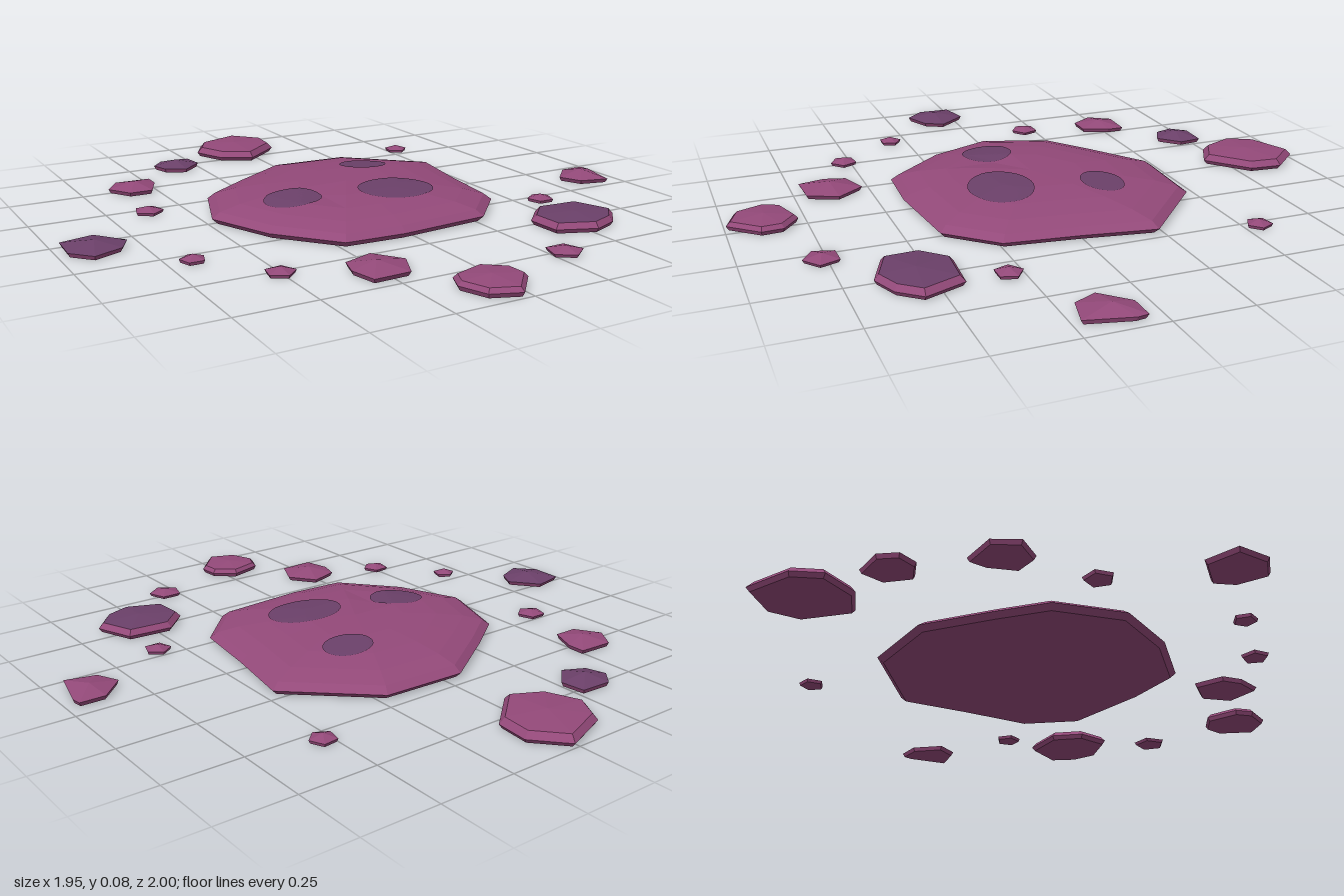
import * as THREE from 'three';

const mauve = new THREE.MeshStandardMaterial({ color: 0x934979, flatShading: true });
mauve.name = 'mauve stone';
const plum = new THREE.MeshStandardMaterial({ color: 0x6b4069, flatShading: true });
plum.name = 'dark plum';

// Closed faceted stone: an outline repeated in rings of [scale, height], from base centre to crown.
// Group 0 is the base and rim, group 1 the cap above ring capFrom.
function stoneGeometry(outline, rings, capFrom, shift = () => 0) {
  const n = outline.length;
  const cx = outline.reduce((s, p) => s + p[0], 0) / n;
  const cz = outline.reduce((s, p) => s + p[1], 0) / n;
  const at = (k, i) => {
    const [s, y] = rings[k];
    const p = outline[i % n];
    return [cx + (p[0] - cx) * s, y + shift(k, i % n), cz + (p[1] - cz) * s];
  };
  const pos = [];
  let capStart = 0;
  for (let k = 0; k < rings.length - 1; k++) {
    if (k === capFrom) capStart = pos.length / 3;
    for (let i = 0; i < n; i++) {
      const a = at(k, i), b = at(k, i + 1), c = at(k + 1, i + 1), d = at(k + 1, i);
      if (rings[k][0] > 0) pos.push(...a, ...c, ...b);
      if (rings[k + 1][0] > 0) pos.push(...a, ...d, ...c);
    }
  }
  const g = new THREE.BufferGeometry();
  g.setAttribute('position', new THREE.Float32BufferAttribute(pos, 3));
  g.addGroup(0, capStart, 0);
  g.addGroup(capStart, pos.length / 3 - capStart, 1);
  g.computeVertexNormals();
  return g;
}

// Thin round patch draped over a surface
function spotGeometry(surface, x, z, rx, rz) {
  const g = new THREE.RingGeometry(0.001, 1, 28, 6);
  g.rotateX(-Math.PI / 2);
  g.scale(rx, 1, rz);
  g.translate(x, 0, z);
  const p = g.attributes.position;
  const ray = new THREE.Raycaster();
  const down = new THREE.Vector3(0, -1, 0);
  for (let i = 0; i < p.count; i++) {
    ray.set(new THREE.Vector3(p.getX(i), 1, p.getZ(i)), down);
    const hit = ray.intersectObject(surface)[0];
    p.setY(i, (hit ? hit.point.y : 0.07) + 0.003);
  }
  g.computeVertexNormals();
  return g;
}

export function createModel() {
  const group = new THREE.Group();
  group.name = 'steppingStones';
  const add = (name, geometry, material) => {
    const mesh = new THREE.Mesh(geometry, material);
    mesh.name = name;
    group.add(mesh);
    return mesh;
  };

  // Large domed slab with a small dent beside the crown
  const slabOutline = [
    [-0.05, -0.47], [0.23, -0.46], [0.48, -0.23], [0.44, 0.01], [0.41, 0.25], [0.27, 0.4],
    [-0.04, 0.43], [-0.24, 0.42], [-0.4, 0.23], [-0.49, 0.01], [-0.41, -0.22], [-0.26, -0.33],
  ];
  const slabRings = [
    [0, 0], [0.96, 0], [1, 0.018], [0.945, 0.037], [0.8, 0.054], [0.6, 0.067], [0.35, 0.076], [0, 0.078],
  ];
  const dent = (k, i) => (k === 6 && i === 8 ? -0.009 : 0);
  const slab = add('mainSlab', stoneGeometry(slabOutline, slabRings, 3, dent), mauve);
  slab.updateMatrixWorld();

  // Dark spots on the slab
  [[-0.24, 0.075, 0.095, 0.085], [0.1, 0.145, 0.13, 0.105], [0.165, -0.182, 0.085, 0.07]]
    .forEach((s, i) => add('spot' + (i + 1), spotGeometry(slab, ...s), plum));

  // Flat-topped stones with a bevelled rim; the dark one is dark on its cap only
  const flatStones = [
    [mauve, 0.042, [[0.02, -1], [0.11, -0.9], [0.1, -0.79], [-0.035, -0.675], [-0.14, -0.73], [-0.19, -0.85], [-0.14, -0.94]]],
    [mauve, 0.035, [[-0.02, 0.775], [0.05, 0.83], [0.055, 0.9], [-0.03, 0.995], [-0.12, 0.96], [-0.155, 0.87], [-0.13, 0.81]]],
    [plum, 0.04, [[0.46, 0.42], [0.61, 0.43], [0.66, 0.56], [0.6, 0.63], [0.51, 0.665], [0.385, 0.615], [0.38, 0.5]]],
  ];
  flatStones.forEach(([cap, h, outline], i) => add('flatStone' + (i + 1),
    stoneGeometry(outline, [[0, 0], [0.93, 0], [1, 0.014], [0.88, h - 0.008], [0, h]], 3), [mauve, cap]));

  // Medium pointed stones, coloured the same way
  const pointedStones = [
    [plum, [[-0.365, -0.785], [-0.26, -0.78], [-0.25, -0.7], [-0.32, -0.635], [-0.39, -0.67], [-0.41, -0.735]]],
    [mauve, [[-0.61, -0.575], [-0.49, -0.57], [-0.49, -0.51], [-0.53, -0.42], [-0.61, -0.42], [-0.66, -0.5]]],
    [plum, [[-0.86, -0.03], [-0.785, 0.065], [-0.82, 0.13], [-0.915, 0.17], [-0.975, 0.105], [-0.97, -0.005]]],
    [mauve, [[-0.22, 0.525], [-0.155, 0.615], [-0.2, 0.715], [-0.32, 0.72], [-0.34, 0.63], [-0.32, 0.56]]],
    [mauve, [[0.88, 0.05], [0.965, 0.05], [0.97, 0.085], [0.935, 0.23], [0.835, 0.205], [0.8, 0.13]]],
  ];
  pointedStones.forEach(([cap, outline], i) => add('pointedStone' + (i + 1),
    stoneGeometry(outline, [[0, 0], [0.92, 0], [1, 0.014], [0, 0.033]], 2), [mauve, cap]));

  // Small five-sided pebbles: x, z, radius, turn
  const pebbles = [
    [-0.62, -0.21, 0.049, 0.6], [0.53, -0.55, 0.043, 0.5], [-0.675, 0.31, 0.04, 0],
    [-0.505, 0.525, 0.047, 0.5], [0.295, 0.765, 0.058, 0.6], [0.58, 0.295, 0.045, 0],
  ];
  pebbles.forEach(([x, z, r, turn], i) => {
    const outline = Array.from({ length: 5 }, (_, k) => {
      const a = turn - Math.PI / 2 + (k / 5) * Math.PI * 2;
      return [x + r * Math.cos(a), z + r * Math.sin(a)];
    });
    add('pebble' + (i + 1), stoneGeometry(outline, [[0, 0], [0.9, 0], [1, 0.01], [0, 0.024]], 2), mauve);
  });

  return group;
}
